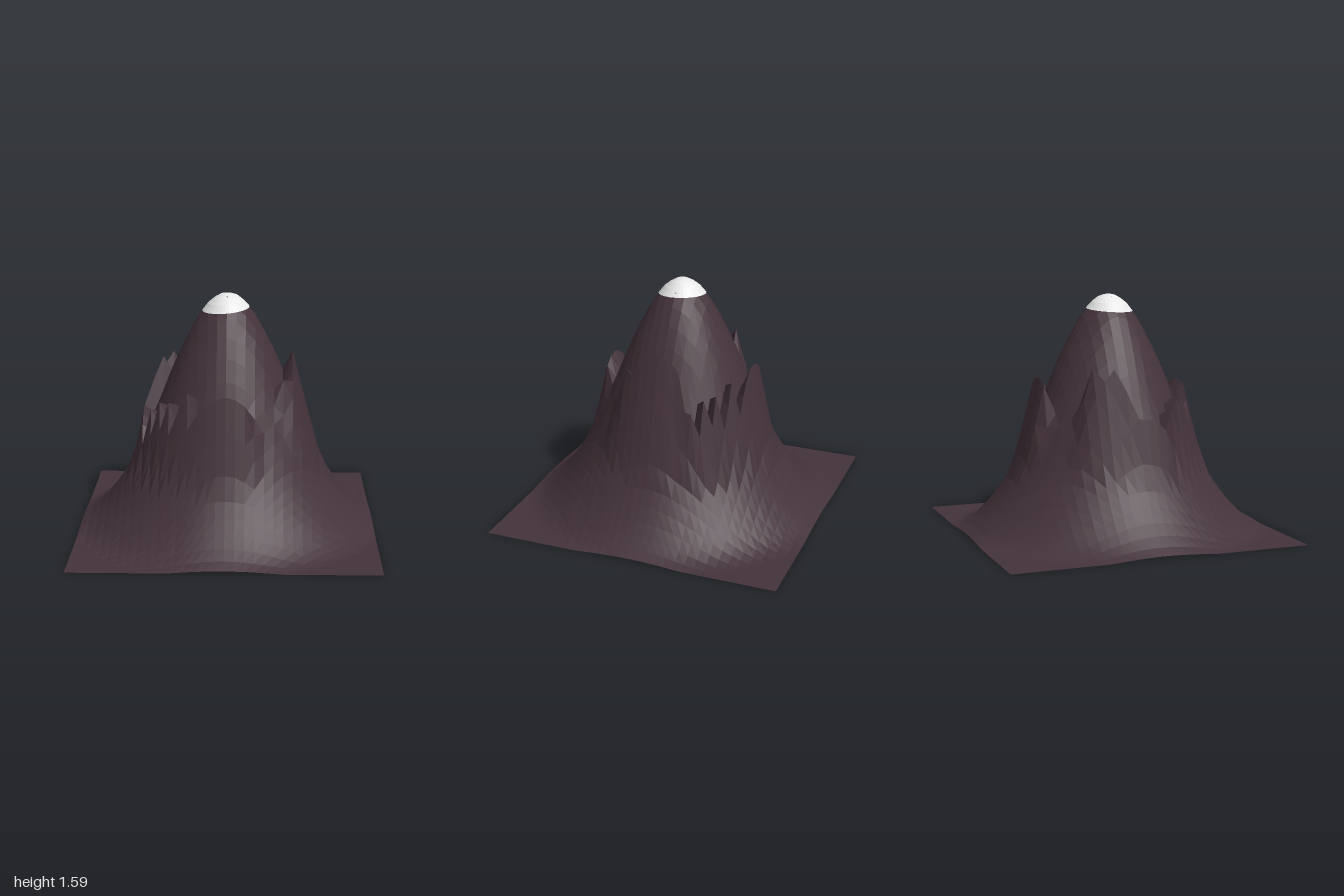
import * as THREE from 'three';

// Piecewise linear lookup: rows of [key, value, value...]
function lookup(rows, key) {
  let i = 1;
  while (i < rows.length - 1 && rows[i][0] < key) i++;
  const a = rows[i - 1], b = rows[i];
  const t = THREE.MathUtils.clamp((key - a[0]) / (b[0] - a[0]), 0, 1);
  return a.map((v, k) => v + (b[k] - v) * t);
}

// Main cone: radius, height
const slope = [
  [0, 1.59], [0.0625, 1.575], [0.125, 1.525], [0.1875, 1.445], [0.25, 1.335], [0.3125, 1.21],
  [0.375, 1.07], [0.4375, 0.91], [0.5, 0.76], [0.5625, 0.615], [0.625, 0.475], [0.6875, 0.365],
  [0.75, 0.27], [0.8125, 0.185], [0.875, 0.115], [0.9375, 0.058], [1, 0.018], [1.06, 0],
];

// Rocky spurs around the cone: angle from +x towards +z, inner edge radius, rise
const spurs = [
  [-180, 0.52, 0.27], [-168, 0.44, 0.26], [-144, 0.43, 0.26], [-134, 0.45, 0], [-112, 0.5, 0],
  [-105, 0.5, 0.28], [-70, 0.49, 0.29], [-55, 0.47, 0.27], [-42, 0.53, 0.27], [-25, 0.54, 0.25],
  [-17, 0.43, 0.27], [0, 0.42, 0.29], [30, 0.42, 0.26], [42, 0.45, 0], [66, 0.47, 0],
  [76, 0.47, 0.27], [100, 0.47, 0.27], [125, 0.5, 0.26], [148, 0.52, 0.27], [160, 0.55, 0.27],
  [180, 0.52, 0.27],
];

function heightAt(x, z) {
  const r = Math.hypot(x, z);
  const base = lookup(slope, r)[1];
  const [, edge, rise] = lookup(spurs, THREE.MathUtils.radToDeg(Math.atan2(z, x)));
  const end = Math.max(0.65, edge + 0.12);
  if (r < edge || r > end) return base;
  return base + rise * Math.min(1, 1.08 * (end - r) / (end - edge));
}

// Lays a flat geometry down and lifts it onto the mountain surface
function drape(geometry, cx, cz, lift) {
  geometry.rotateX(-Math.PI / 2).translate(cx, 0, cz);
  const p = geometry.attributes.position;
  for (let i = 0; i < p.count; i++) p.setY(i, heightAt(p.getX(i), p.getZ(i)) + lift);
  geometry.computeVertexNormals();
  return geometry;
}

export function createModel() {
  const group = new THREE.Group();
  group.name = 'mountain';

  const rock = new THREE.MeshStandardMaterial({ color: 0x44333b, flatShading: true, side: THREE.DoubleSide });
  rock.name = 'dark rock';
  const snow = new THREE.MeshStandardMaterial({ color: 0xeeeeee, flatShading: true, side: THREE.DoubleSide });
  snow.name = 'snow white';

  // Open terrain sheet
  const terrain = new THREE.Mesh(drape(new THREE.PlaneGeometry(2, 2, 32, 32), 0, 0, 0), rock);
  terrain.name = 'mountainTerrain';

  // Thin snow patch over the summit
  const cap = new THREE.Mesh(drape(new THREE.RingGeometry(0.0005, 0.158, 32, 4), -0.01, 0.005, 0.004), snow);
  cap.name = 'snowCap';

  group.add(terrain, cap);
  return group;
}
